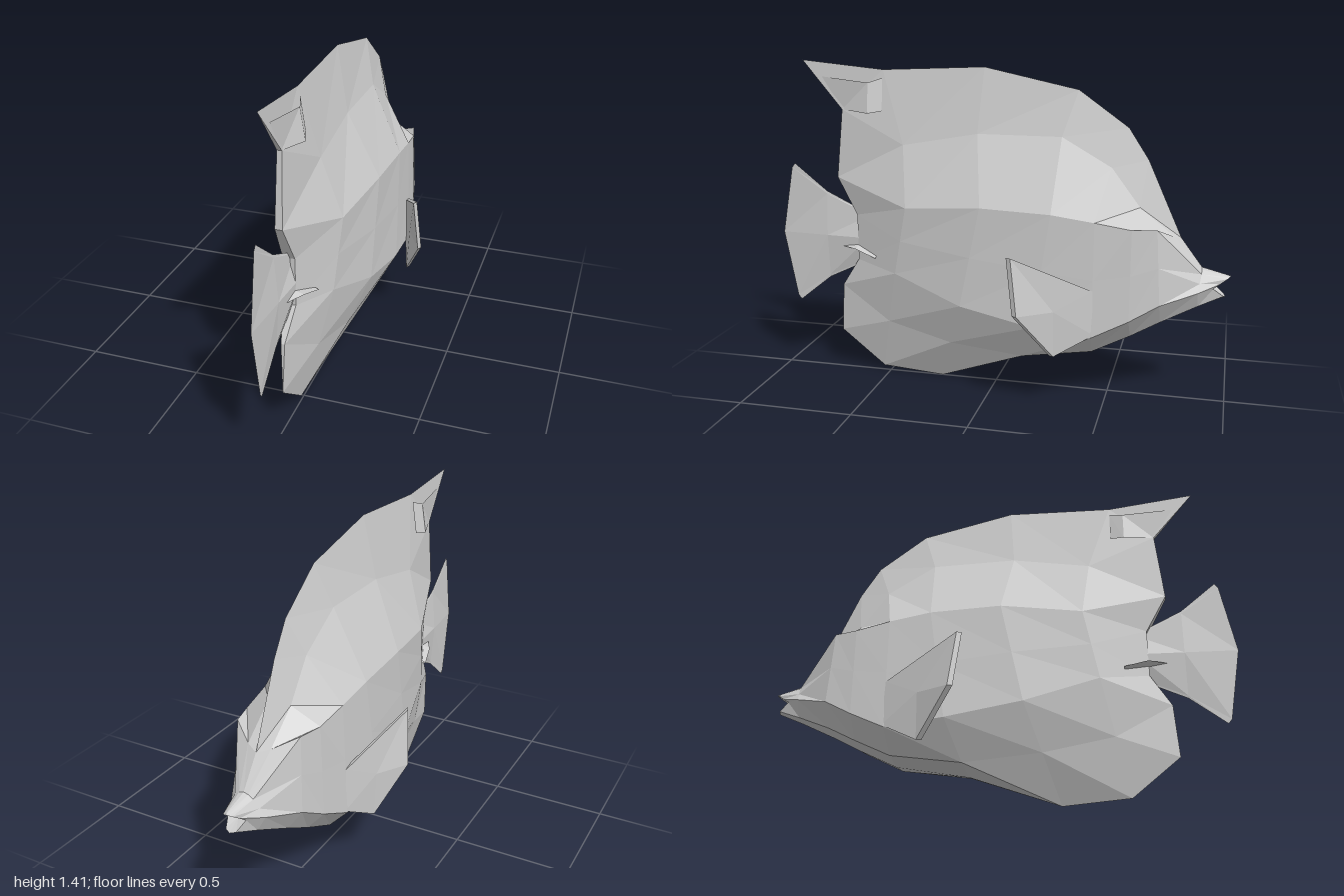
import * as THREE from 'three';

const grey = new THREE.MeshStandardMaterial({ color: 0xcccccc, flatShading: true, side: THREE.DoubleSide });
grey.name = 'pale grey';

const mix = (a, b, t) => a.map((v, k) => v + (b[k] - v) * t);

// Faceted skin between neighbouring cross-sections; side = -1 mirrors it across x.
function skin(name, sections, side) {
  const pos = [];
  const tri = (a, b, c) => {
    for (const p of side > 0 ? [a, b, c] : [a, c, b]) pos.push(p[0] * side, p[1], p[2]);
  };
  for (let i = 0; i < sections.length - 1; i++) {
    for (let j = 0; j < sections[i].length - 1; j++) {
      const a = sections[i][j], b = sections[i + 1][j];
      const c = sections[i + 1][j + 1], d = sections[i][j + 1];
      tri(a, b, c);
      tri(a, c, d);
    }
  }
  const geo = new THREE.BufferGeometry();
  geo.setAttribute('position', new THREE.Float32BufferAttribute(pos, 3));
  geo.computeVertexNormals();
  const mesh = new THREE.Mesh(geo, grey);
  mesh.name = name;
  return mesh;
}

// Body rails from snout to tail: ridges as [y, z], side lines as [x, y, z].
const back = [[.56, -1], [.59, -.88], [.71, -.79], [1.03, -.645], [1.16, -.56], [1.31, -.35], [1.395, .05], [1.375, .5]];
const shoulder = [[.557, -.995], [.585, -.88], [.725, -.765], [.84, -.62], [1, -.5], [1.12, -.29], [1.12, .07], [1.06, .4]];
const flank = [[.02, .55, -.985], [.04, .57, -.88], [.14, .77, -.7], [.165, .77, -.6],
  [.178, .795, -.45], [.185, .82, -.27], [.178, .83, .03], [.13, .8, .37]];
const cheek = [[.04, .51, -.93], [.085, .5, -.87], [.15, .455, -.72], [.175, .385, -.6],
  [.195, .31, -.45], [.2, .335, -.2], [.175, .395, .12], [.11, .5, .43]];
const keel = [[.47, -.98], [.42, -.87], [.345, -.72], [.28, -.6], [.2, -.44], [.14, -.13], [0, .25], [.02, .53]];
const rearEdge = [[0, 1.41, .87], [.01, 1.2, .69], [.015, .9, .72], [.025, .735, .63], [.025, .53, .63], [.008, .4, .715], [0, .18, .73]];

// Each section is flat-bottomed under the head and V-shaped under the belly.
function bodySections() {
  const sections = back.map((top, i) => {
    const low = [0, ...keel[i]];
    const belly = mix(cheek[i], low, i < 6 ? .85 : .5);
    belly[0] = cheek[i][0] * .55;
    return [
      [0, ...top], [Math.min(.05, flank[i][0] / 2), ...shoulder[i]], flank[i],
      mix(flank[i], cheek[i], .5), cheek[i], belly, low,
    ];
  });
  const mouth = rearEdge.map(() => [0, .51, -.92]);
  const seam = rearEdge.map(([, y, z]) => [0, y, z]);
  return [mouth, ...sections, rearEdge, seam];
}

// Tail fan: sections of [half height, z, half thickness, bow of the edge].
const tailSections = () => [[.105, .58, .03, 0], [.2, .78, .016, 0], [.32, 1, 0, .07]].map(([h, z, w, bow]) =>
  [1, .94, 0, -.94, -1].map((s) => [w * (1 - s * s), .63 + s * h, z - bow * s ** 4]));

// Pectoral fin: two offset faces joined by a rim.
function finSections() {
  const outer = [[.19, .51, -.45], [.305, .66, -.13], [.325, .42, -.16], [.24, .23, -.3], [.19, .32, -.46]];
  const inner = outer.map(([x, y, z]) => [x - .01, y, z + .02]);
  const loop = (pts) => [...pts, pts[0]];
  const hub = (pts) => loop(pts).map(() => [0, 1, 2].map((k) => pts.reduce((sum, p) => sum + p[k], 0) / pts.length));
  return [hub(inner), loop(inner), loop(outer), hub(outer)];
}

// Small flare under the dorsal tip.
const flareSections = () => [
  [[.01, 1.34, .5], [.03, 1.2, .5]],
  [[.03, 1.32, .56], [.05, 1.19, .56]],
  [[.005, 1.34, .78], [.008, 1.2, .69]],
];

// Sideways spur on the tail root, tapering backwards.
const spurSections = () => [[.085, .555, .53], [.06, .585, .63], [.01, .585, .72]].map(([x, y, z]) =>
  [[0, y + x / 3, z], [x, y, z], [0, y - x / 3, z]]);

export function createModel() {
  const fish = new THREE.Group();
  fish.name = 'fish';
  for (const side of [1, -1]) {
    const half = side > 0 ? 'left' : 'right';
    fish.add(
      skin(half + 'Body', bodySections(), side),
      skin(half + 'TailFin', tailSections(), side),
      skin(half + 'PectoralFin', finSections(), side),
      skin(half + 'DorsalFlare', flareSections(), side),
      skin(half + 'TailSpur', spurSections(), side),
    );
  }
  return fish;
}
